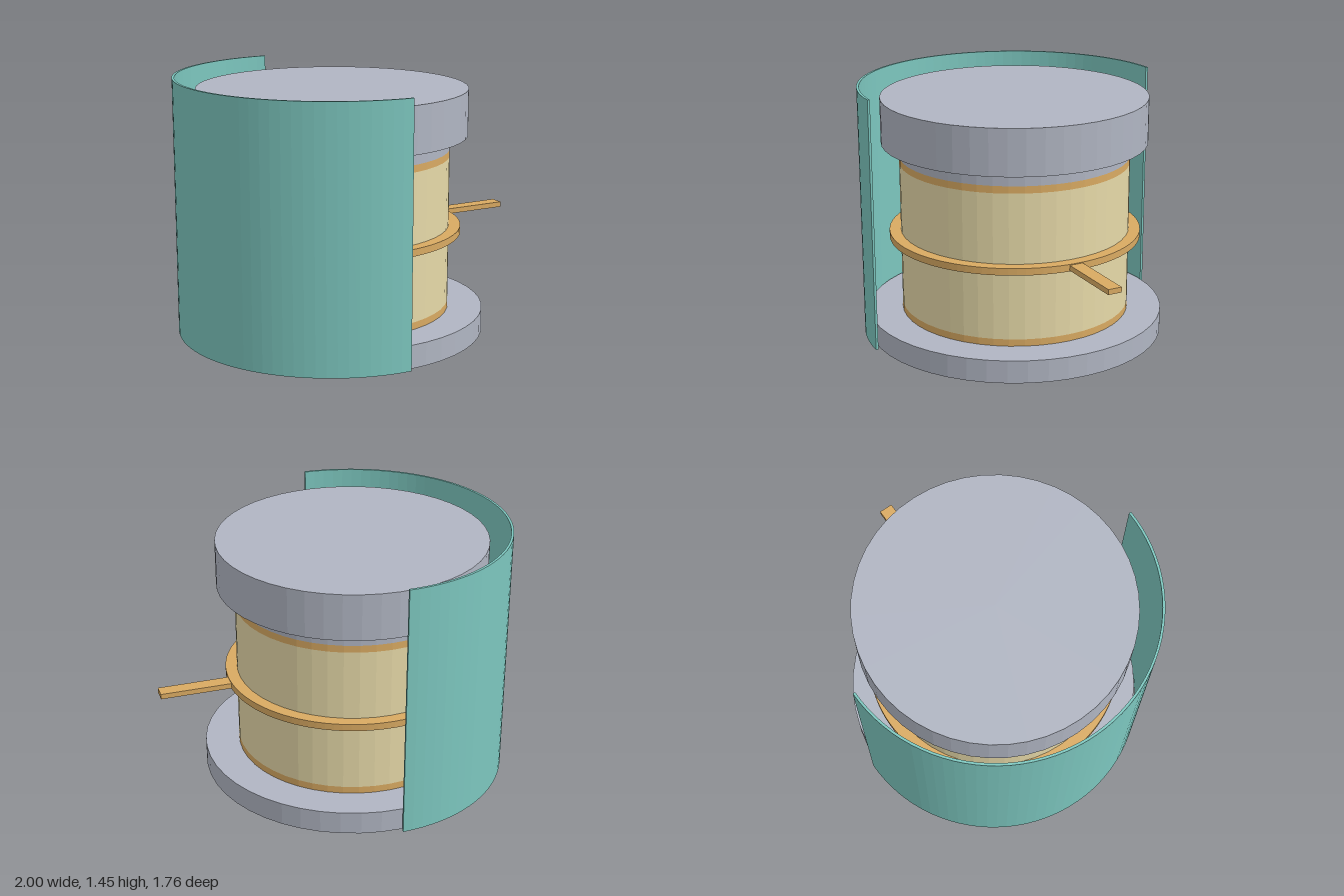
import * as THREE from 'three';

const SEGMENTS = 48;
const AXIS_X = -0.12;

const material = (color) =>
  new THREE.MeshStandardMaterial({ color, flatShading: true });

export function createModel() {
  const model = new THREE.Group();
  const grey = material(0xb0b5c2);
  const cream = material(0xe6d9a8);
  const gold = material(0xd9aa62);
  const teal = material(0x7cc6be);

  const add = (name, geometry, mat, x, y) => {
    const mesh = new THREE.Mesh(geometry, mat);
    mesh.name = name;
    mesh.position.set(x, y, 0);
    model.add(mesh);
  };

  // Stacked discs of the drum: name, radius, bottom, top, material
  const discs = [
    ['base', 0.85, 0, 0.13, grey],
    ['lowerBand', 0.655, 0.13, 0.17, gold],
    ['drumBody', 0.655, 0.17, 1.0, cream],
    ['upperBand', 0.655, 1.0, 1.04, gold],
    ['neck', 0.655, 1.04, 1.12, grey],
    ['cap', 0.755, 1.12, 1.38, grey],
  ];
  for (const [name, radius, bottom, top, mat] of discs) {
    add(name, new THREE.CylinderGeometry(radius, radius, top - bottom, SEGMENTS),
      mat, AXIS_X, (bottom + top) / 2);
  }

  // Flat ring outline over an angle range, extruded upwards
  const ringSolid = (outer, inner, height, shape, curveSegments) =>
    new THREE.ExtrudeGeometry(shape, { depth: height, bevelEnabled: false, curveSegments })
      .rotateX(-Math.PI / 2);

  // Collar around the middle of the drum
  const collar = new THREE.Shape().absarc(0, 0, 0.72, 0, Math.PI * 2, false);
  collar.holes.push(new THREE.Path().absarc(0, 0, 0.65, 0, Math.PI * 2, true));
  add('collar', ringSolid(0.72, 0.65, 0.04, collar, SEGMENTS), gold, AXIS_X, 0.565);

  // Lever sticking out of the collar
  add('lever', new THREE.BoxGeometry(0.42, 0.03, 0.08), gold, 0.79, 0.585);

  // Half-round shield on the -x side
  const shield = new THREE.Shape();
  shield.absarc(0, 0, 0.88, Math.PI / 2, Math.PI * 1.5, false);
  shield.absarc(0, 0, 0.866, Math.PI * 1.5, Math.PI / 2, true);
  shield.closePath();
  add('shield', ringSolid(0.88, 0.866, 1.445, shield, SEGMENTS / 2), teal, AXIS_X, 0);

  return model;
}
